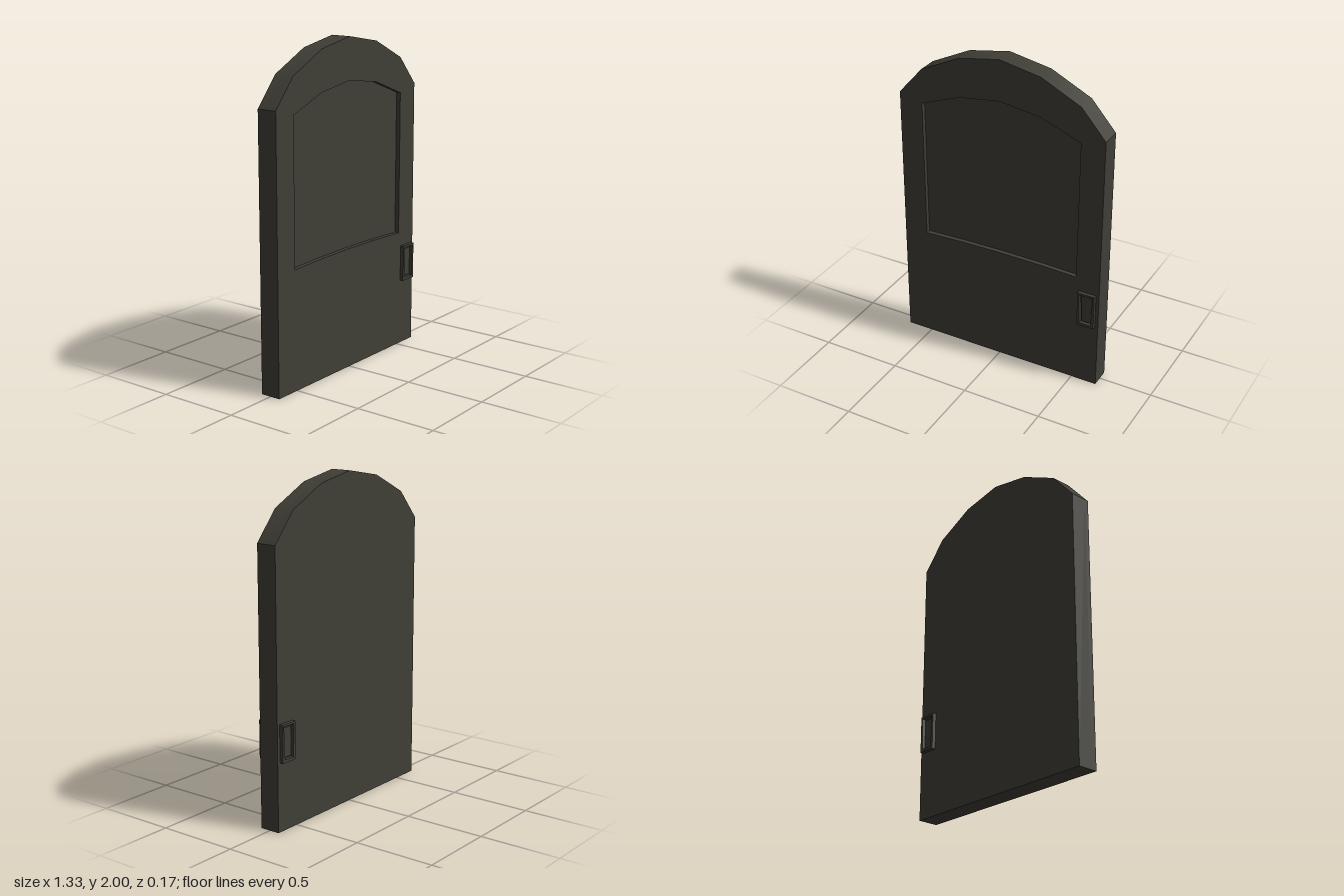
import * as THREE from 'three';
import { toCreasedNormals } from 'three/addons/utils/BufferGeometryUtils.js';

const toPoints = (list) => list.map(([x, y]) => new THREE.Vector2(x, y));

// Mirrors the right half of an outline, leaving out the points on the centre line
const mirrored = (half) =>
  toPoints([...half, ...half.filter(([x]) => x > 0).reverse().map(([x, y]) => [-x, y])]);

export function createModel() {
  const door = new THREE.Group();
  door.name = 'archedDoor';
  const darkOlive = new THREE.MeshStandardMaterial({ color: 0x3f3e36 });
  darkOlive.name = 'darkOlive';

  // Extrudes an outline (with an optional hole) between two depths
  function slab(name, outline, hole, z0, z1, parent = door) {
    const shape = new THREE.Shape(outline);
    if (hole) shape.holes.push(new THREE.Path(hole));
    const geometry = new THREE.ExtrudeGeometry(shape, { depth: z1 - z0, bevelEnabled: false });
    geometry.translate(0, 0, z0);
    const mesh = new THREE.Mesh(toCreasedNormals(geometry, 0.5), darkOlive);
    mesh.name = name;
    parent.add(mesh);
    return mesh;
  }

  // Door leaf: a solid back and a front layer with the sunken panel cut out
  const arch = mirrored([[0.663, 0], [0.663, 1.655], [0.51, 1.83], [0.26, 1.952], [0, 2]]);
  const panel = mirrored([[0, 0.742], [0.25, 0.739], [0.51, 0.73], [0.513, 1.612], [0.26, 1.708], [0, 1.745]]);
  slab('doorBack', arch, null, -0.064, 0.036);
  slab('doorFrontFrame', arch, panel, 0.036, 0.064);

  // Recessed handle pull on each face: raised rim and a slightly tapered grip plate
  const rim = toPoints([[-0.055, -0.113], [0.055, -0.113], [0.055, 0.113], [-0.055, 0.113]]);
  const pocket = toPoints([[-0.036, -0.095], [0.036, -0.095], [0.044, 0.1], [-0.044, 0.1]]);
  const grip = toPoints([[-0.03, -0.088], [0.03, -0.088], [0.035, 0.088], [-0.035, 0.088]]);
  for (const [name, turn] of [['frontHandle', 0], ['backHandle', Math.PI]]) {
    const handle = new THREE.Group();
    handle.name = name;
    handle.position.set(0.588, 0.528, 0);
    handle.rotation.y = turn;
    slab('handleRim', rim, pocket, 0.06, 0.087, handle);
    slab('handleGrip', grip, null, 0.06, 0.072, handle);
    door.add(handle);
  }

  return door;
}
